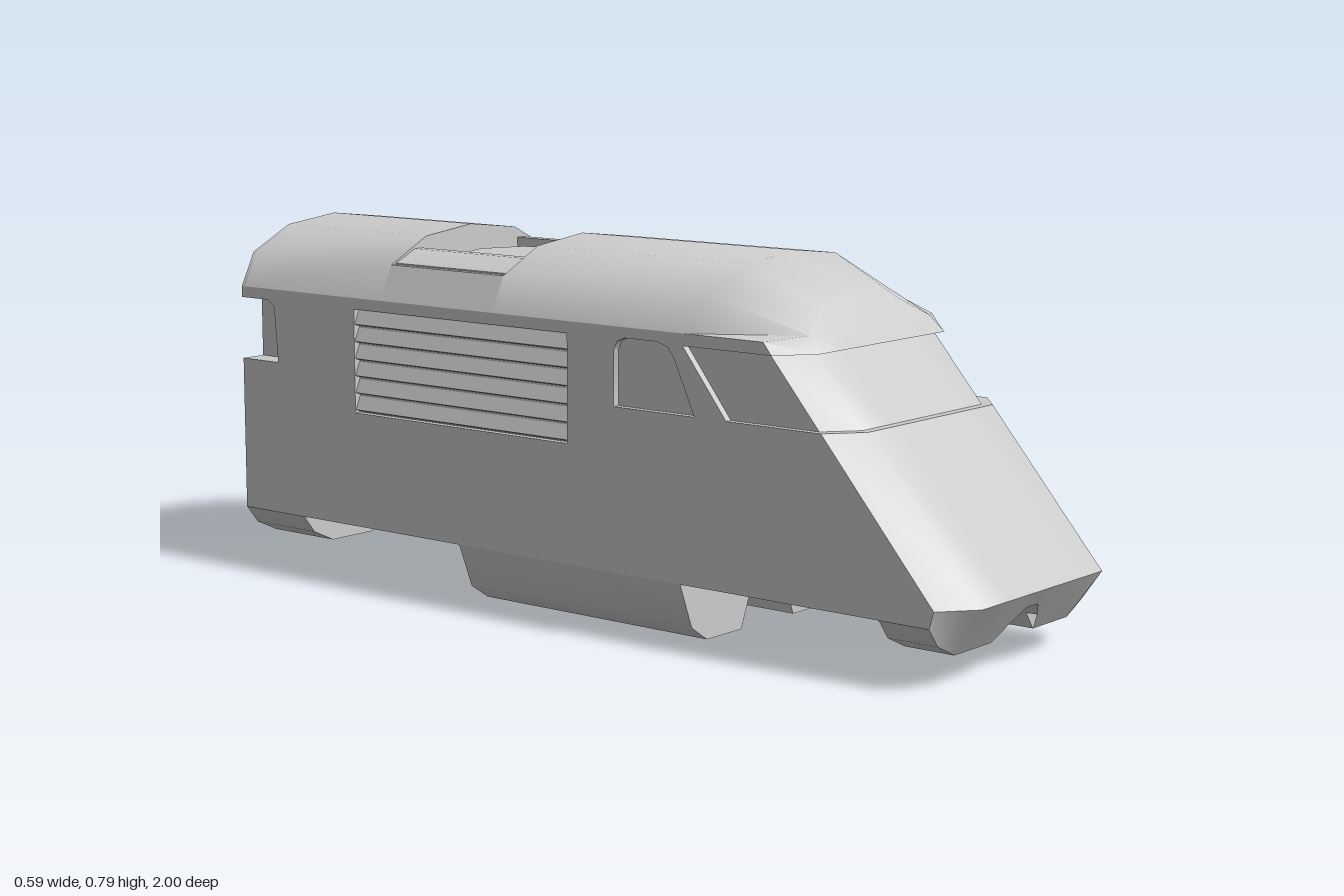
import * as THREE from 'three';
import { toCreasedNormals } from 'three/addons/utils/BufferGeometryUtils.js';

const grey = new THREE.MeshStandardMaterial({ color: 0xcccccc, side: THREE.DoubleSide });

const polygon = (pts, Type = THREE.Shape) => new Type(pts.map(p => new THREE.Vector2(...p)));
const crease = g => toCreasedNormals(g, 0.8);

// Half outline (centre line last or first) completed by its mirror image
const mirrored = half => [...half, ...half.map(([x, ...r]) => [-x, ...r]).reverse().filter(p => p[0] !== 0)];

// Surface through rows of [x, y, z] points, all rows of equal length
function loft(rows) {
  const n = rows[0].length, index = [];
  for (let r = 0; r < rows.length - 1; r++)
    for (let c = 0; c < n - 1; c++) {
      const a = r * n + c, b = a + 1, d = a + n, e = d + 1;
      index.push(a, b, e, a, e, d);
    }
  const g = new THREE.BufferGeometry();
  g.setAttribute('position', new THREE.Float32BufferAttribute(rows.flat(2), 3));
  g.setIndex(index);
  return crease(g);
}

// Outline in (x, y) extruded from z0 to z1
function alongZ(pts, z0, z1) {
  const g = new THREE.ExtrudeGeometry(polygon(pts), { depth: z1 - z0, bevelEnabled: false });
  return crease(g.translate(0, 0, z0));
}

// Outline in (z, y) extruded from x1 down to x0
function alongX(pts, x0, x1, holes = []) {
  const shape = polygon(pts);
  shape.holes = holes.map(h => polygon(h, THREE.Path));
  const g = new THREE.ExtrudeGeometry(shape, { depth: x1 - x0, bevelEnabled: false });
  return crease(g.rotateY(-Math.PI / 2).translate(x1, 0, 0));
}

export function createModel() {
  const model = new THREE.Group();
  const add = (name, geometry) => {
    const mesh = new THREE.Mesh(geometry, grey);
    mesh.name = name;
    model.add(mesh);
    return mesh;
  };

  // Side walls with cab window, door window, grille opening and rear corner notch
  const wall = [
    [-0.95, 0.13], [0.93, 0.13], [0.94, 0.165], [0.675, 0.475], [0.445, 0.475],
    [0.335, 0.615], [0.555, 0.615], [0.535, 0.64], [-0.95, 0.64], [-0.95, 0.615],
    [-0.865, 0.615], [-0.845, 0.6], [-0.835, 0.475], [-0.95, 0.475],
  ];
  const doorWindow = [
    [0.365, 0.475], [0.155, 0.475], [0.155, 0.59], [0.165, 0.61], [0.185, 0.618],
    [0.27, 0.618], [0.295, 0.61], [0.312, 0.59],
  ];
  const grilleHole = [[0.03, 0.385], [-0.59, 0.385], [-0.59, 0.615], [0.03, 0.615]];
  for (const [name, x0] of [['leftWall', 0.233], ['rightWall', -0.293]])
    add(name, alongX(wall, x0, x0 + 0.06, [doorWindow, grilleHole]));

  // Inner core forms the backs of the window and grille recesses
  add('core', alongX([[-0.82, 0.14], [0.92, 0.14], [0.92, 0.165], [0.66, 0.475], [0.54, 0.615],
    [0.52, 0.63], [-0.82, 0.63]], -0.277, 0.277));
  add('rearCore', alongX([[-0.94, 0.14], [-0.8, 0.14], [-0.8, 0.64], [-0.94, 0.64]], -0.233, 0.233));
  add('floor', alongX([[-0.945, 0.13], [0.92, 0.13], [0.92, 0.16], [-0.945, 0.16]], -0.29, 0.29));

  // Nose, windscreen ledge, recessed windscreen and roof brow, as rows of a wrapped front
  const wrap = (y, z, inset = 0) => mirrored([
    [0.293 - inset, y, z - 0.06 + inset * 0.3], [0.22 - inset * 0.6, y, z], [0.12, y, z], [0, y, z],
  ]);
  add('nose', loft([wrap(0.165, 1), wrap(0.475, 0.735)]));
  add('windscreen', loft([wrap(0.475, 0.735), wrap(0.475, 0.715, 0.016),
    wrap(0.615, 0.595, 0.016), wrap(0.615, 0.615)]));

  // Roof: brow, sloping front and long curved section up to the fan bay
  const roofHalf = [[0.293, 0.64], [0.255, 0.715], [0.145, 0.77], [0, 0.787]];
  const roof = mirrored(roofHalf);
  const frontZ = [0.34, 0.37, 0.39, 0.39];
  add('frontRoof', loft([
    wrap(0.615, 0.615),
    mirrored([[0.293, 0.64, 0.535], [0.21, 0.648, 0.585], [0.13, 0.69, 0.558], [0, 0.7, 0.55]]),
    mirrored(roofHalf.map((p, i) => [...p, frontZ[i]])),
    roof.map(p => [...p, -0.18]),
  ]));
  add('fanBayFrontWall', alongZ(roof, -0.18, -0.175));
  add('rearRoof', alongZ(roof, -0.95, -0.51));

  // Fan bay with two wedge rails and an eight-sided fan cover
  add('fanBayFloor', alongZ(mirrored(roofHalf.slice(0, 2)), -0.51, -0.18));
  for (const s of [1, -1])
    add(s > 0 ? 'leftRail' : 'rightRail', alongZ(
      [[0.155, 0.71], [0.24, 0.71], [0.24, 0.718], [0.18, 0.745], [0.155, 0.745]].map(([x, y]) => [s * x, y]),
      -0.51, -0.18));
  const fan = add('fanCover', crease(new THREE.CylinderGeometry(0.138, 0.138, 0.02, 8)));
  fan.position.set(0, 0.723, -0.345);

  // Back plate, notched at the rear corner windows
  add('backPlate', alongZ(mirrored([[0.293, 0.13], [0.293, 0.475], [0.233, 0.475],
    [0.233, 0.615], [0.293, 0.615], ...roofHalf]), -0.95, -0.94));

  // Grille louvres
  for (const s of [1, -1])
    for (let i = 0; i < 6; i++) {
      const slat = add('louvre', new THREE.BoxGeometry(0.008, 0.032, 0.62));
      slat.position.set(s * 0.281, 0.405 + i * 0.038, -0.28);
      slat.rotation.z = s * 0.4;
    }

  // Underside skirts in left and right halves, and the chin above the front one
  const endSkirt = [[0.02, 0.13], [0.05, 0.1], [0.077, 0.063], [0.205, 0.063], [0.262, 0.09], [0.293, 0.13]];
  const midSkirt = [[0.02, 0.13], [0.05, 0.1], [0.09, 0], [0.205, 0], [0.255, 0.033], [0.293, 0.13]];
  const skirts = [['frontSkirt', endSkirt, 0.815, 0.93], ['middleSkirt', midSkirt, -0.28, 0.33],
    ['rearSkirt', endSkirt, -0.95, -0.76]];
  for (const [name, pts, z0, z1] of skirts)
    for (const s of [1, -1])
      add(name, alongZ(pts.map(([x, y]) => [s * x, y]), z0, z1));
  const chinLow = [[0.293, 0.13, 0.93], [0.262, 0.09, 0.93], [0.205, 0.063, 0.93], [0.077, 0.063, 0.93],
    [0.05, 0.1, 0.955], [0.02, 0.13, 0.975], [0, 0.13, 0.975]];
  const chinTop = [[0.293, 0.165, 0.94], [0.255, 0.165, 0.971], [0.22, 0.165, 1], [0.08, 0.165, 1],
    [0.05, 0.165, 1], [0.02, 0.165, 1], [0, 0.165, 1]];
  add('chin', loft([mirrored(chinLow), mirrored(chinTop)]));
  add('chinUnderside', loft([mirrored(chinLow).slice(4, 9), mirrored(chinLow).slice(4, 9).map(([x, y]) => [x, y, 0.9])]));

  // Rear coupling knob
  const knob = [[0.028, 0], [0.02, 0.012], [0.022, 0.022], [0.04, 0.03], [0.036, 0.044], [0, 0.05]];
  const coupler = add('coupler', crease(new THREE.LatheGeometry(knob.map(p => new THREE.Vector2(...p)), 8)));
  coupler.rotation.x = -Math.PI / 2;
  coupler.position.set(0, 0.165, -0.95);

  return model;
}
